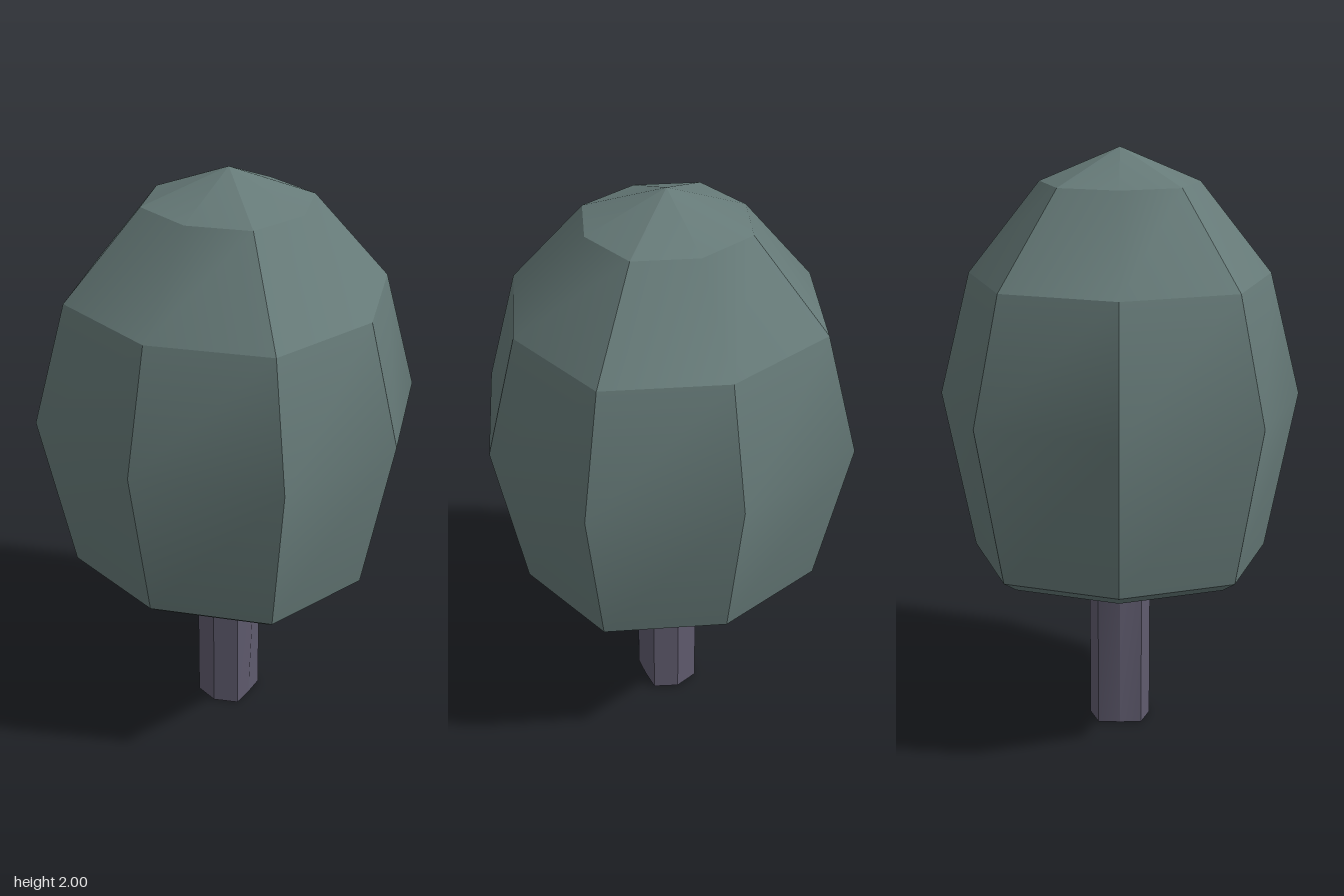
import * as THREE from 'three';
import { mergeGeometries } from 'three/addons/utils/BufferGeometryUtils.js';

// Skin over rings (listed bottom to top); normals are smooth within one patch
function patch(rings) {
  const n = rings[0].length;
  const index = [];
  for (let r = 0; r < rings.length - 1; r++) {
    for (let i = 0; i < n - 1; i++) {
      const a = r * n + i, b = a + 1, ua = a + n, ub = ua + 1;
      index.push(a, ua, b, b, ua, ub);
    }
  }
  const geo = new THREE.BufferGeometry();
  geo.setAttribute('position', new THREE.Float32BufferAttribute(rings.flat(2), 3));
  geo.setIndex(index);
  geo.computeVertexNormals();
  return geo;
}

// Eight-sided ring: corners on the axes (ax, az) and on the diagonals (dx, dz)
function octagon(y, ax, az, dx, dz) {
  return Array.from({ length: 8 }, (_, i) => {
    const t = i * Math.PI / 4;
    const sx = Math.round(Math.cos(t)), sz = Math.round(Math.sin(t));
    return i % 2 ? [sx * dx, y, sz * dz] : [sx * ax, y, sz * az];
  });
}

// Bands of rings, each cut into panels of `span` sides
function panels(rings, span, start = 0) {
  const out = [];
  for (let s = 0; s < 8; s += span) {
    out.push(patch(rings.map(ring =>
      Array.from({ length: span + 1 }, (_, k) => ring[(s + start + k) % 8]))));
  }
  return out;
}

export function createModel() {
  const group = new THREE.Group();

  // Foliage: egg-shaped octagonal crown
  const leaf = (y, r) => octagon(y, r, r * 0.972, r * 0.75, r * 0.726);
  const [centre, base, rim, belly, shoulder, crown, tip] = [
    [0.605, 0], [0.605, 0.465], [0.64, 0.514], [1.18, 0.62],
    [1.59, 0.514], [1.89, 0.27], [2, 0],
  ].map(([y, r]) => leaf(y, r));
  const foliage = new THREE.Mesh(
    mergeGeometries([
      ...panels([centre, base], 1),
      ...panels([base, rim], 1),
      ...panels([rim, belly, shoulder], 1),
      // upper facets pair up between the diagonals
      ...panels([shoulder, crown], 2, 1),
      ...panels([crown, tip], 2, 1),
    ]),
    new THREE.MeshStandardMaterial({ color: 0x667a78 })
  );
  foliage.name = 'foliage';
  group.add(foliage);

  // Trunk: nearly hexagonal at the foot, octagonal under the crown
  const foot = octagon(0, 0.085, 0.105, 0.082, 0.075);
  const head = octagon(0.61, 0.11, 0.105, 0.082, 0.075);
  const footCentre = octagon(0, 0, 0, 0, 0);
  const trunk = new THREE.Mesh(
    mergeGeometries([...panels([footCentre, foot], 1), ...panels([foot, head], 1)]),
    new THREE.MeshStandardMaterial({ color: 0x5f5b6e })
  );
  trunk.name = 'trunk';
  group.add(trunk);

  return group;
}
